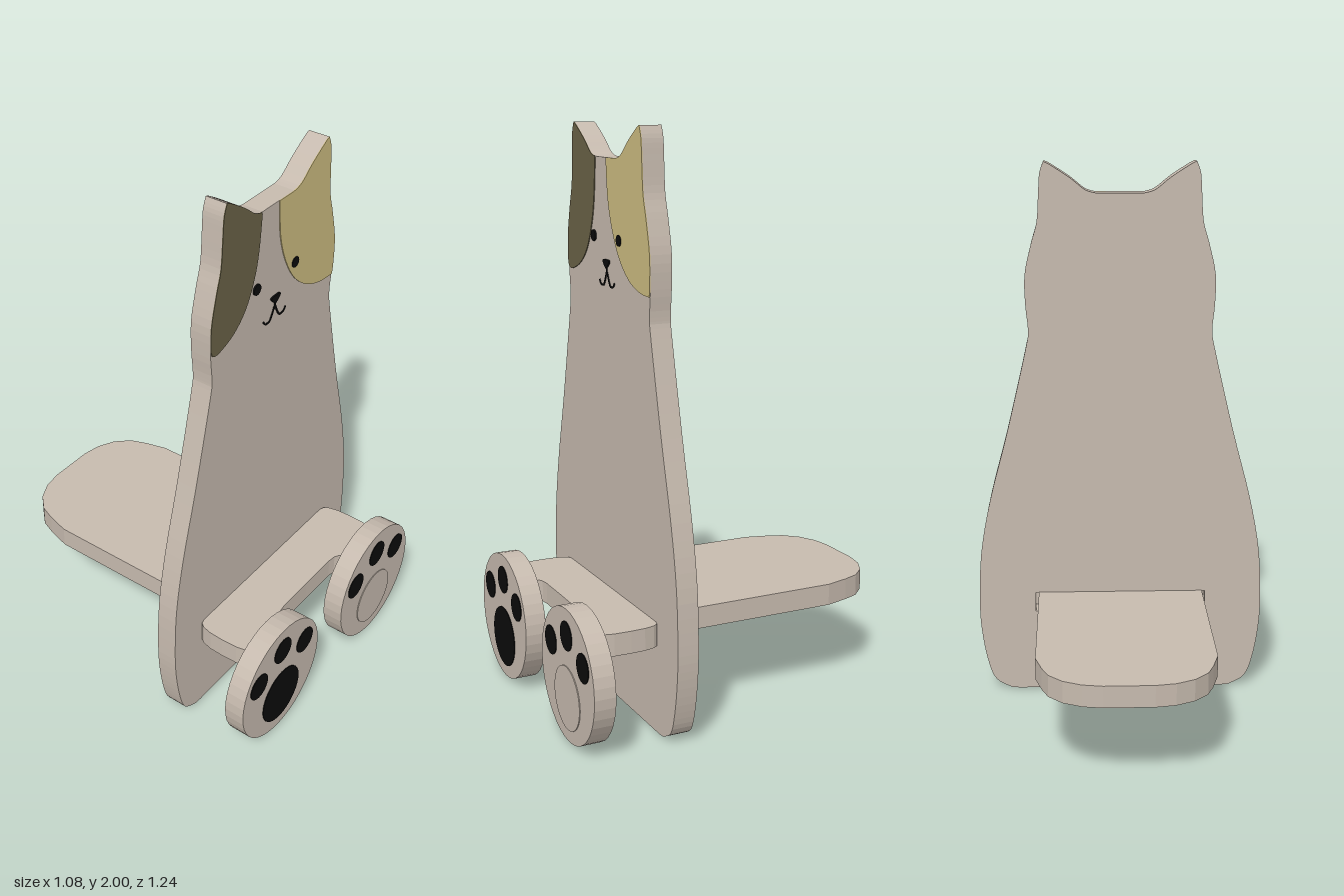
import * as THREE from 'three';

const mat = (name, color) => new THREE.MeshStandardMaterial({ name, color });
const V = ([x, y]) => new THREE.Vector2(x, y);

// Smooth list of points through a few control points
const smooth = (pts, n) => new THREE.SplineCurve(pts.map(V)).getPoints(n);
const mirror = (pts) => pts.map((p) => new THREE.Vector2(-p.x, p.y)).reverse();

export function createModel() {
  const group = new THREE.Group();
  const wood = mat('wood', 0xc6baae);
  const brown = mat('darkBrownPatch', 0x6a6247);
  const yellow = mat('yellowPatch', 0xcdbc80);
  const black = mat('black', 0x0b0b0b);

  const BACK = 0.248, FRONT = 0.323, FOOT_BACK = 0.542, FOOT_FRONT = 0.617, SKIN = 0.003;

  // Flat plate cut from a shape, starting at z
  function plate(name, shape, material, z, depth, parent = group) {
    const geo = new THREE.ExtrudeGeometry(shape, { depth, bevelEnabled: false, curveSegments: 20 });
    const mesh = new THREE.Mesh(geo, material);
    mesh.name = name;
    mesh.position.z = z;
    parent.add(mesh);
    return mesh;
  }
  const disc = (x, y, r) => new THREE.Shape().absarc(x, y, r, 0, Math.PI * 2, false);

  // Half outline of the cat, from the base up to the ear tip and across the head
  const side = smooth([[0.42, 0.003], [0.48, 0.04], [0.51, 0.12], [0.53, 0.24], [0.535, 0.36], [0.525, 0.55],
    [0.487, 0.757], [0.418, 1.02], [0.345, 1.33], [0.335, 1.4], [0.343, 1.49], [0.344, 1.6],
    [0.32, 1.71], [0.298, 1.79], [0.291, 1.89], [0.286, 1.96], [0.272, 2.0]], 64);
  const crown = smooth([[0.272, 2.0], [0.25, 1.99], [0.18, 1.945], [0.125, 1.902], [0.085, 1.89]], 16);
  const half = [new THREE.Vector2(0.39, 0), ...side, ...crown.slice(1)];

  // Cat-shaped back panel with a slot for the shelf
  const body = new THREE.Shape([...half, ...mirror(half)]);
  body.holes.push(new THREE.Path([[-0.322, 0.315], [-0.322, 0.39], [0.322, 0.39], [0.322, 0.315]].map(V)));
  plate('catPanel', body, wood, BACK, FRONT - BACK);

  // Face patches that follow the outline
  const yellowEdge = smooth([[0.004, 1.89], [0.016, 1.76], [0.05, 1.656], [0.105, 1.566],
    [0.18, 1.503], [0.265, 1.472], [0.339, 1.466]], 24);
  plate('yellowPatch', new THREE.Shape([...half.filter((p) => p.y > 1.468), ...yellowEdge]), yellow, FRONT, SKIN);
  const brownEdge = smooth([[0.088, 1.885], [0.1, 1.76], [0.122, 1.667], [0.164, 1.58],
    [0.228, 1.52], [0.307, 1.49], [0.338, 1.497]], 24);
  const brownHalf = [...half.filter((p) => p.y > 1.51 && p.x > 0.088), ...brownEdge];
  plate('darkPatch', new THREE.Shape(mirror(brownHalf)), brown, FRONT, SKIN);

  // Eyes, nose and mouth
  for (const s of [-1, 1]) plate(s > 0 ? 'leftEye' : 'rightEye', disc(s * 0.106, 1.624, 0.019), black, FRONT, 0.006);
  const nose = smooth([[0, 1.522], [0.016, 1.533], [0.026, 1.546], [0.018, 1.552], [0, 1.552]], 12);
  plate('nose', new THREE.Shape([...nose, ...mirror(nose).slice(1, -1)]), black, FRONT, 0.006);
  const lip = smooth([[0, 1.508], [0.012, 1.482], [0.026, 1.462], [0.045, 1.46], [0.057, 1.466], [0.065, 1.477]], 16);
  const lipInner = lip.map((p, i) => {
    const a = lip[Math.max(i - 1, 0)], b = lip[Math.min(i + 1, lip.length - 1)];
    const t = b.clone().sub(a).normalize();
    return new THREE.Vector2(p.x - t.y * 0.006, p.y + t.x * 0.006);
  });
  const lipLoop = [...lip, ...lipInner.reverse()];
  plate('mouthLeft', new THREE.Shape(lipLoop), black, FRONT, SKIN);
  plate('mouthRight', new THREE.Shape(mirror(lipLoop)), black, FRONT, SKIN);
  plate('philtrum', new THREE.Shape([[-0.003, 1.5], [0.003, 1.5], [0.003, 1.53], [-0.003, 1.53]].map(V)),
    black, FRONT, SKIN);

  // Shelf: rounded seat behind, tabbed footrest in front (drawn in x, z)
  const shelfHalf = [
    [0, 0.508], [0.15, 0.509], [0.18, 0.513], [0.197, 0.523], [0.21, 0.544],
    [0.385, 0.544], [0.4, 0.525], [0.408, 0.49], [0.41, 0.43], [0.408, 0.38], [0.4, 0.345], [0.388, 0.328],
    [0.37, FRONT], [0.31, FRONT], [0.31, -0.385], [0.287, -0.47], [0.265, -0.527], [0.217, -0.577],
    [0.154, -0.608], [0.085, -0.62], [0, -0.62],
  ].map(V);
  const shelf = plate('shelf', new THREE.Shape([...shelfHalf, ...mirror(shelfHalf).slice(1, -1)]), wood, 0, 0.077);
  shelf.rotation.x = Math.PI / 2;
  shelf.position.y = 0.391;

  // Round feet with paw pads
  for (const s of [-1, 1]) {
    const foot = new THREE.Group();
    foot.name = s > 0 ? 'leftFoot' : 'rightFoot';
    foot.position.x = s * 0.309;
    group.add(foot);
    plate('footDisc', disc(0, 0.234, 0.231), wood, FOOT_BACK, FOOT_FRONT - FOOT_BACK, foot);
    plate('bigPad', disc(0, 0.155, 0.11), s > 0 ? wood : black, FOOT_FRONT, SKIN, foot);
    for (const [x, y] of [[-0.139, 0.311], [0, 0.372], [0.139, 0.311]]) {
      plate('toePad', disc(x, y, 0.05), black, FOOT_FRONT, SKIN, foot);
    }
  }
  return group;
}
